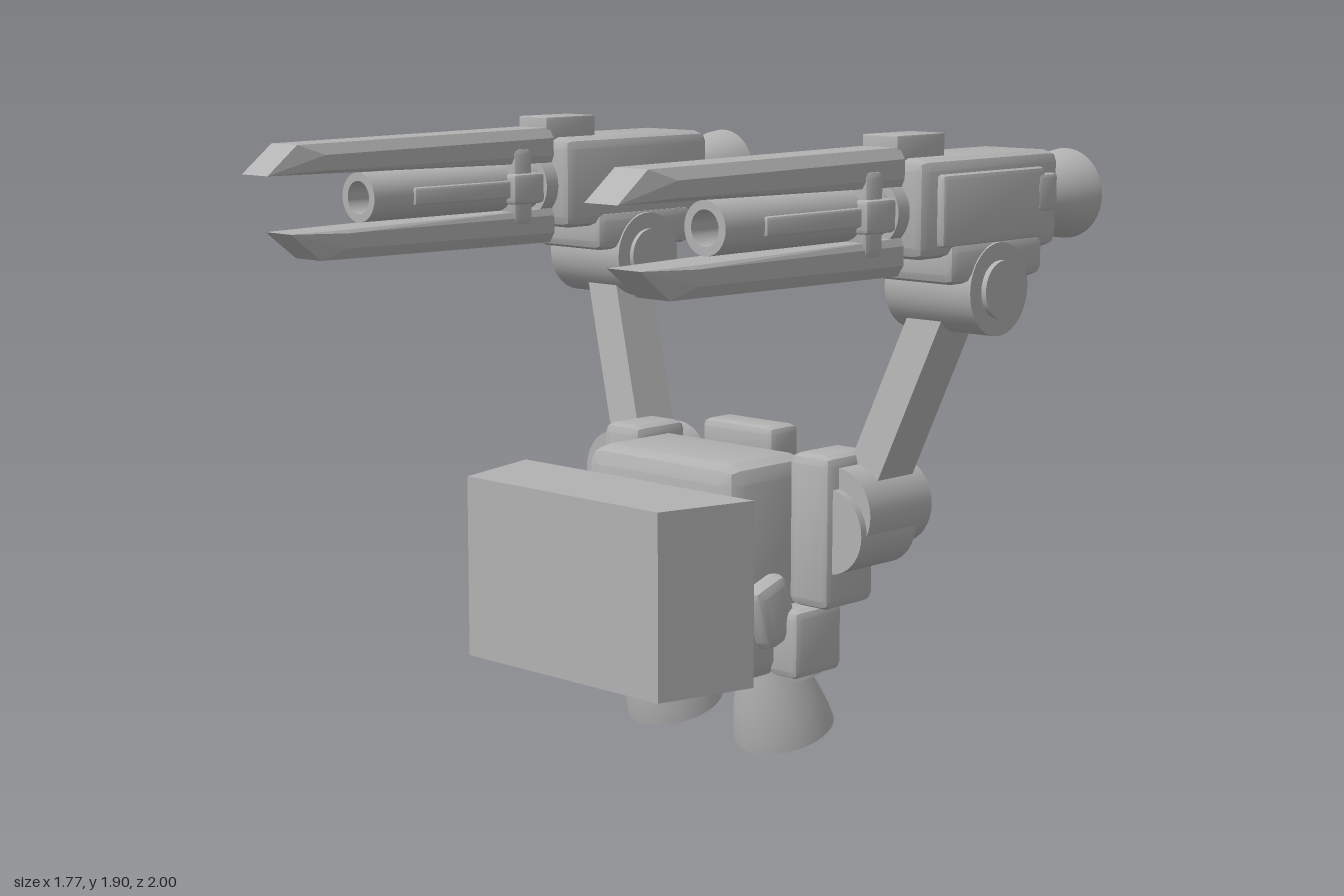
import * as THREE from 'three';
import { toCreasedNormals } from 'three/addons/utils/BufferGeometryUtils.js';
import { RoundedBoxGeometry } from 'three/addons/geometries/RoundedBoxGeometry.js';
import { ConvexGeometry } from 'three/addons/geometries/ConvexGeometry.js';

const grey = new THREE.MeshStandardMaterial({ color: 0xb2b2b2 });
grey.name = 'plain grey';

function add(parent, name, geometry, x = 0, y = 0, z = 0) {
  const mesh = new THREE.Mesh(geometry, grey);
  mesh.name = name;
  mesh.position.set(x, y, z);
  parent.add(mesh);
  return mesh;
}

// Bevelled box given by its limits on each axis
function block(parent, name, [x0, x1], [y0, y1], [z0, z1], bevel = 0.02) {
  const g = new RoundedBoxGeometry(x1 - x0, y1 - y0, z1 - z0, 1, bevel);
  return add(parent, name, toCreasedNormals(g, 0.4), (x0 + x1) / 2, (y0 + y1) / 2, (z0 + z1) / 2);
}

// Cylinder along x or z between two limits
function rod(parent, name, axis, r, from, to, a, b) {
  const g = new THREE.CylinderGeometry(r, r, to - from, 40);
  const mid = (from + to) / 2;
  if (axis === 'x') return add(parent, name, g.rotateZ(Math.PI / 2), mid, a, b);
  return add(parent, name, g.rotateX(Math.PI / 2), a, b, mid);
}

// Convex solid from [half width, y, z] points mirrored in x
function hull(points) {
  return new ConvexGeometry(points.flatMap(([w, y, z]) =>
    [new THREE.Vector3(w, y, z), new THREE.Vector3(-w, y, z)]));
}

// Hollow bell, rim at y = 0 and opening downward
function bell() {
  const profile = [[0, 0.2], [0.075, 0.19], [0.12, 0.1], [0.138, 0.04], [0.148, 0],
    [0.158, 0], [0.153, 0.04], [0.136, 0.11], [0.112, 0.19], [0.088, 0.25], [0, 0.25]];
  const g = new THREE.LatheGeometry(profile.map(([r, y]) => new THREE.Vector2(r, y)), 40);
  return toCreasedNormals(g, 0.6);
}

// Gun built around x = 0 on the barrel line; out is the outward x direction
function gun(out) {
  const g = new THREE.Group();
  g.name = 'gun';
  const axisY = 1.69;
  block(g, 'gunBody', [-0.143, 0.143], [1.555, 1.84], [-0.775, -0.12], 0.035);
  block(g, 'gunMount', [-0.153, 0.153], [1.475, 1.6], [-0.69, -0.25], 0.03);

  // Outer side panel and its latch
  const side = (a, b) => (out > 0 ? [a, b] : [-b, -a]);
  block(g, 'sidePanel', side(0.12, 0.168), [1.59, 1.795], [-0.67, -0.19], 0.012);
  block(g, 'panelLatch', side(0.12, 0.172), [1.665, 1.775], [-0.725, -0.635], 0.012);

  // Upper prong, and its mirror image below the barrel
  const prong = [[0.07, 1.762, -0.12], [0.08, 1.785, -0.12], [0.08, 1.84, -0.12], [0.06, 1.872, -0.12],
    [0.07, 1.775, 0.8], [0.08, 1.785, 0.8], [0.08, 1.83, 0.8], [0.06, 1.862, 0.89], [0.06, 1.777, 1]];
  add(g, 'upperProng', hull(prong));
  add(g, 'lowerProng', hull(prong.map(([w, y, z]) => [w, 2 * axisY - y, z - (z > 0 ? 0.08 : 0)])));
  block(g, 'topSight', [-0.064, 0.064], [1.82, 1.905], [-0.32, -0.105], 0.004);

  // Hollow barrel with side rails and clamp
  const barrel = [[0.05, -0.12], [0.075, -0.12], [0.075, 0.615], [0.05, 0.615], [0.05, 0.4], [0, 0.4]];
  const tube = new THREE.LatheGeometry(barrel.map(([r, y]) => new THREE.Vector2(r, y)), 32);
  add(g, 'barrel', toCreasedNormals(tube, 0.6).rotateX(Math.PI / 2), 0, axisY, 0);
  rod(g, 'barrelCollar', 'z', 0.1, -0.14, -0.07, 0, axisY);
  block(g, 'barrelRails', [-0.083, 0.083], [1.66, 1.715], [-0.1, 0.46], 0.008);
  block(g, 'clamp', [-0.088, 0.088], [1.57, 1.815], [-0.025, 0.055], 0.02);
  block(g, 'clampTab', [-0.103, 0.103], [1.64, 1.735], [-0.06, 0.07], 0.012);

  const nozzle = add(g, 'rearNozzle', bell(), 0, axisY, -1);
  nozzle.rotation.x = Math.PI / 2;
  nozzle.scale.set(0.87, 0.92, 0.87);
  return g;
}

// One arm with its gun, shoulder and thruster; s is the side, +1 or -1
function armSide(s) {
  const g = new THREE.Group();
  g.name = s > 0 ? 'leftSide' : 'rightSide';
  const span = (a, b) => (s > 0 ? [a, b] : [-b, -a]);

  block(g, 'shoulderBracket', span(0.315, 0.475), [0.47, 0.94], [-0.4, -0.175], 0.03);
  block(g, 'bracketLink', span(0.25, 0.35), [0.5, 0.85], [-0.37, -0.2], 0.01);

  // Overlapping shoulder drums facing front to back
  rod(g, 'shoulderDrum', 'z', 0.135, -0.515, -0.225, s * 0.463, 0.77);
  rod(g, 'shoulderCap', 'z', 0.08, -0.53, -0.5, s * 0.463, 0.78);
  rod(g, 'lowerDrum', 'z', 0.13, -0.455, -0.2, s * 0.455, 0.712);

  // Slanted arm: a box sheared from shoulder to elbow
  const arm = new THREE.BoxGeometry(0.128, 0.66, 0.165);
  const p = arm.attributes.position;
  for (let i = 0; i < p.count; i++) {
    const y = p.getY(i);
    p.setX(i, p.getX(i) + s * y * 0.36);
    p.setZ(i, p.getZ(i) - y * 0.138);
  }
  arm.computeVertexNormals();
  add(g, 'arm', arm, s * 0.583, 1.11, -0.42);

  // Elbow drum with end caps
  rod(g, 'elbowDrum', 'x', 0.137, ...span(0.554, 0.87), 1.45, -0.467);
  rod(g, 'elbowCaps', 'x', 0.085, ...span(0.539, 0.887), 1.45, -0.467);

  const weapon = gun(s);
  weapon.position.x = s * 0.713;
  g.add(weapon);

  // Thruster housing, tilted bell and hip block
  const tilt = 0.32;
  block(g, 'thrusterHousing', span(0.22, 0.405), [0.255, 0.468], [-0.335, -0.12], 0.025);
  add(g, 'thrusterBell', bell(), s * 0.233, 0.052, -0.26).rotation.x = tilt;
  const collar = new THREE.CylinderGeometry(0.08, 0.1, 0.12, 32);
  add(g, 'thrusterCollar', collar, s * 0.29, 0.315, -0.235).rotation.x = tilt;
  const hip = block(g, 'hipBlock', span(0.25, 0.365), [0.36, 0.57], [-0.165, -0.015], 0.035);
  hip.rotation.x = tilt;
  return g;
}

export function createModel() {
  const model = new THREE.Group();
  model.name = 'twinGunPack';

  block(model, 'torso', [-0.312, 0.312], [0.245, 0.92], [-0.31, 0.068], 0.058);
  block(model, 'backBlock', [-0.148, 0.148], [0.86, 0.978], [-0.42, -0.29], 0.022);

  // Free-standing tapered front block
  add(model, 'frontBlock', hull([[0.48, 0.305, 0.155], [0.48, 0.86, 0.155],
    [0.4, 0.305, 0.472], [0.4, 0.86, 0.472]]));

  for (const s of [1, -1]) model.add(armSide(s));
  return model;
}
